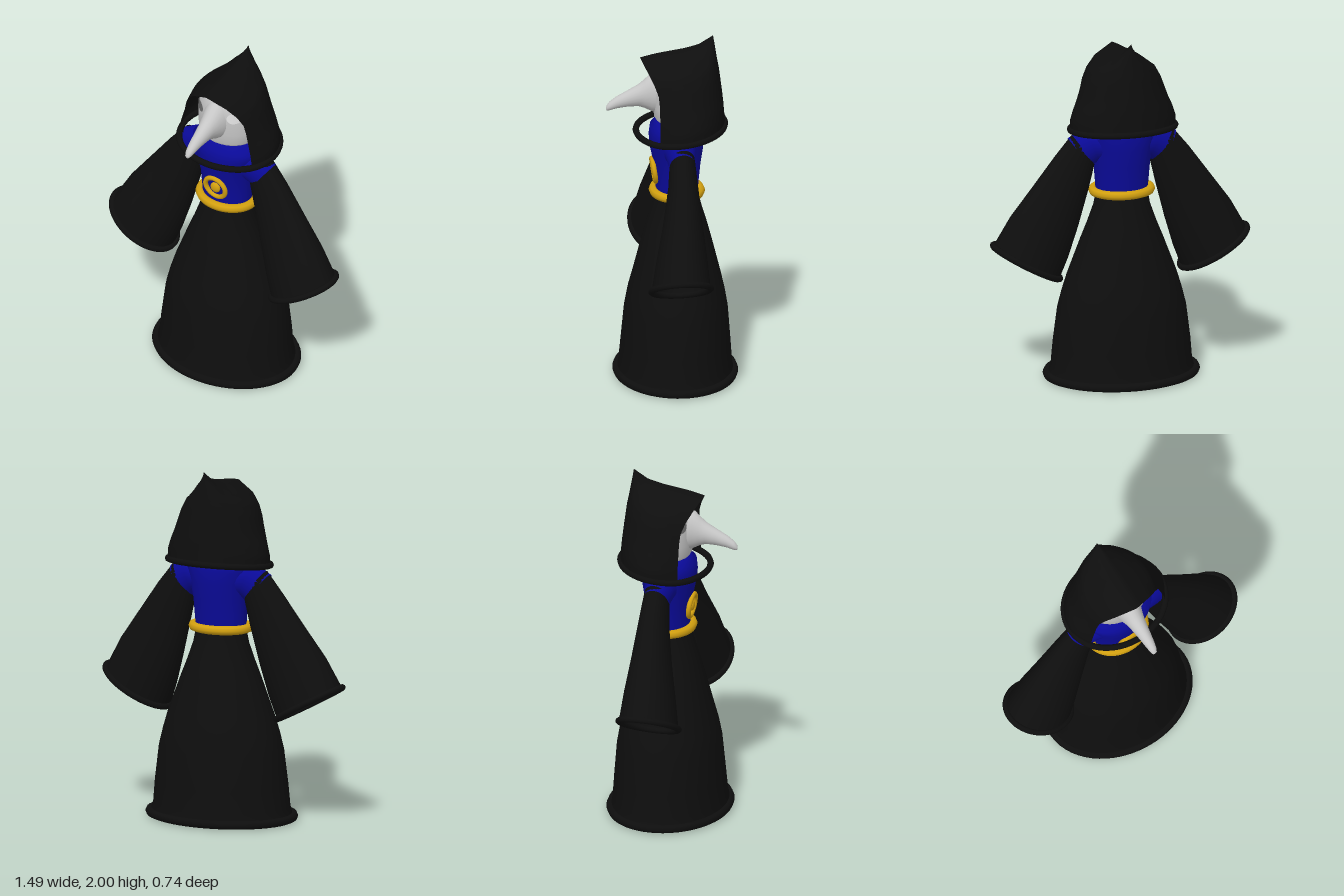
import * as THREE from 'three';

const paint = (name, color) => {
  const m = new THREE.MeshStandardMaterial({ color, side: THREE.DoubleSide });
  m.name = name;
  return m;
};
const V = (x, y, z) => new THREE.Vector3(x, y, z);

// A ring is a centre plus two half-axes; flat(...) is a horizontal one
const ring = (c, a, b) => ({ c, a, b });
const flat = ([y, hx, z, hz]) => ring(V(0, y, z), V(hx, 0, 0), V(0, 0, hz));
const onRing = (r, t) => r.c.clone().addScaledVector(r.a, Math.cos(t)).addScaledVector(r.b, Math.sin(t));

// Surface over a grid of points, optionally closed around each row
function gridSurface(rows, closed) {
  const n = rows[0].length, idx = [];
  for (let i = 0; i < rows.length - 1; i++) {
    for (let j = 0; j < (closed ? n : n - 1); j++) {
      const a = i * n + j, b = i * n + (j + 1) % n;
      idx.push(a, a + n, b, b, a + n, b + n);
    }
  }
  const g = new THREE.BufferGeometry().setFromPoints(rows.flat());
  g.setIndex(idx);
  g.computeVertexNormals();
  return g;
}

function loft(rings, n = 32) {
  return gridSurface(rings.map(r => Array.from({ length: n }, (_, j) => onRing(r, j / n * Math.PI * 2))), true);
}

// Rounded piping following a closed loop of points
const piping = (points, r) =>
  new THREE.TubeGeometry(new THREE.CatmullRomCurve3(points, true), 64, r, 8, true);
const ringPiping = (rg, r) =>
  piping(Array.from({ length: 24 }, (_, j) => onRing(rg, j / 24 * Math.PI * 2)), r);

// Linear lookup in a list of evenly spaced values
function sample(list, t) {
  const f = Math.min(Math.max(t, 0), 1) * (list.length - 1), i = Math.min(Math.floor(f), list.length - 2);
  return THREE.MathUtils.lerp(list[i], list[i + 1], f - i);
}

export function createModel() {
  const group = new THREE.Group();
  const black = paint('black cloth', 0x0e0e0e);
  const blue = paint('blue cloth', 0x0a0a98);
  const gold = paint('gold', 0xd2a010);
  const bone = paint('mask grey', 0xc6c6c6);
  const eyeWhite = paint('eye white', 0xfafafa);
  const eyeGrey = paint('eye grey', 0x707070);
  const add = (name, geo, mat) => {
    const m = new THREE.Mesh(geo, mat);
    m.name = name;
    group.add(m);
    return m;
  };

  // Skirt with rolled hem
  add('skirt', loft([
    [0.03, 0.415, -0.018, 0.325], [0.08, 0.4, -0.018, 0.315], [0.2, 0.39, -0.02, 0.305],
    [0.4, 0.365, -0.022, 0.288], [0.5, 0.34, -0.023, 0.27], [0.6, 0.31, -0.025, 0.245],
    [0.8, 0.235, -0.025, 0.195], [0.9, 0.195, -0.025, 0.168], [1.0, 0.16, -0.025, 0.138],
    [1.08, 0.145, -0.025, 0.12],
  ].map(flat), 40), black);
  add('skirtHem', ringPiping(flat([0.026, 0.42, -0.018, 0.325]), 0.024), black);

  // Tunic and collar
  add('tunic', loft([
    [1.06, 0.145, -0.025, 0.115], [1.15, 0.152, -0.028, 0.12], [1.25, 0.16, -0.028, 0.13],
    [1.35, 0.18, -0.025, 0.148], [1.42, 0.2, -0.022, 0.152], [1.47, 0.21, -0.022, 0.145],
    [1.48, 0.17, -0.02, 0.125], [1.525, 0.145, -0.02, 0.11], [1.53, 0, -0.02, 0],
  ].map(flat), 36), blue);

  // Belt and medallion
  add('belt', ringPiping(flat([1.09, 0.162, -0.027, 0.13]), 0.026), gold);
  const medalRing = add('medallionRing', new THREE.TorusGeometry(0.066, 0.014, 10, 32), gold);
  medalRing.position.set(0.008, 1.215, 0.103);
  medalRing.rotation.x = 0.14;
  const medalCentre = add('medallionCentre', new THREE.SphereGeometry(0.032, 20, 12), gold);
  medalCentre.scale.z = 0.5;
  medalCentre.position.set(0.008, 1.215, 0.103);

  // Shoulders, flared sleeves and cuffs
  for (const s of [1, -1]) {
    const side = s > 0 ? 'left' : 'right';
    const slice = ([x, y, z, ax, ay, hz]) => ring(V(s * x, y, z), V(s * ax, ay, 0), V(0, 0, hz));
    add(side + 'Shoulder', loft([
      [0.1, 1.36, -0.03, 0.02, 0.1, 0.1], [0.18, 1.365, -0.03, 0.045, 0.095, 0.085],
      [0.25, 1.325, -0.03, 0.06, 0.085, 0.07],
    ].map(slice), 24), blue);
    add(side + 'Sleeve', loft([
      [0.225, 1.34, -0.033, 0.063, 0.09, 0.07], [0.29, 1.21, -0.03, 0.095, 0.1, 0.083],
      [0.385, 1.01, -0.017, 0.133, 0.115, 0.112], [0.47, 0.84, -0.003, 0.163, 0.125, 0.143],
      [0.538, 0.7, 0.008, 0.185, 0.103, 0.165],
    ].map(slice)), black);
    add(side + 'Cuff', ringPiping(slice([0.54, 0.697, 0.008, 0.188, 0.104, 0.165]), 0.018), black);
  }

  // Mask shell: half-ellipse rows of [y, half width, depth]
  const zc = -0.04;
  const maskRows = [
    [1.515, 0.155, 0.13], [1.535, 0.175, 0.14], [1.6, 0.181, 0.148], [1.68, 0.178, 0.15],
    [1.74, 0.168, 0.148], [1.79, 0.147, 0.135], [1.83, 0.115, 0.11], [1.855, 0.07, 0.07], [1.865, 0, 0],
  ];
  add('mask', gridSurface(maskRows.map(([y, w, d]) => Array.from({ length: 25 }, (_, j) => {
    const t = (j / 24 - 0.5) * Math.PI;
    return V(w * Math.sin(t), y, zc + d * Math.cos(t));
  }))), bone);

  // Curved beak: [z, centre y, half width, half height]
  add('beak', loft([
    [0.07, 1.675, 0.085, 0.125], [0.12, 1.675, 0.068, 0.108], [0.155, 1.668, 0.056, 0.082],
    [0.19, 1.66, 0.048, 0.062], [0.25, 1.643, 0.038, 0.046], [0.31, 1.623, 0.029, 0.034],
    [0.35, 1.603, 0.021, 0.025], [0.366, 1.592, 0.013, 0.014], [0.37, 1.588, 0, 0],
  ].map(([z, y, w, h]) => ring(V(0, y, z), V(w, 0, 0), V(0, h, 0))), 20), bone);

  // Eyes: thin discs wrapped onto the mask
  for (const s of [1, -1]) {
    const g = new THREE.RingGeometry(0.001, 0.035, 24, 5);
    const p = g.attributes.position;
    for (let i = 0; i < p.count; i++) {
      const x = s * 0.115 + p.getX(i), y = 1.72 + p.getY(i);
      const k = Math.min(Math.abs(x) / 0.172, 0.99);
      p.setXYZ(i, x, y, zc + 0.149 * Math.sqrt(1 - k * k) + 0.006);
    }
    g.computeVertexNormals();
    add(s > 0 ? 'leftEye' : 'rightEye', g, s > 0 ? eyeWhite : eyeGrey);
  }

  // Hood: arches running from the face opening to the closed back seam
  const frontW = [0.245, 0.242, 0.232, 0.22, 0.208, 0.195, 0.165, 0.11, 0];
  const midW = [0.3, 0.298, 0.28, 0.255, 0.235, 0.215, 0.185, 0.11, 0];
  const frontZ = [0.09, 0.09, 0.09, 0.09, 0.09, 0.095, 0.115, 0.145, 0.18];
  const backZ = [-0.295, -0.29, -0.285, -0.278, -0.27, -0.262, -0.25, -0.24, -0.23];
  const ridge = [1.885, 1.905, 1.918, 1.93, 1.95, 2.0];
  const arches = [];
  for (let i = 0; i <= 20; i++) {
    const u = Math.sin(i / 20 * Math.PI / 2);
    const arch = [];
    for (let j = -24; j <= 24; j++) {
      const h = 1 - Math.abs(j) / 24;
      const q = (u - 0.35) / 0.65;
      const w = u < 0.35
        ? THREE.MathUtils.lerp(sample(frontW, h), sample(midW, h), Math.sin(u / 0.35 * Math.PI / 2))
        : sample(midW, h) * Math.sqrt(Math.max(0, 1 - q * q));
      const low = 1.44 + 0.05 * u;
      arch.push(V(Math.sign(j) * w, low + h * (sample(ridge, u) - low),
        THREE.MathUtils.lerp(sample(frontZ, h), sample(backZ, h), u)));
    }
    arches.push(arch);
  }
  add('hood', gridSurface(arches), black);

  // Hood rim: full loop, level in front and rising to the back
  add('hoodRim', piping(Array.from({ length: 24 }, (_, j) => {
    const t = j / 24 * Math.PI * 2, z = -0.047 + 0.247 * Math.sin(t);
    return V(0.296 * Math.cos(t), 1.443 + 0.045 * Math.max(0, (0.1 - z) / 0.39), z);
  }), 0.018), black);

  return group;
}
